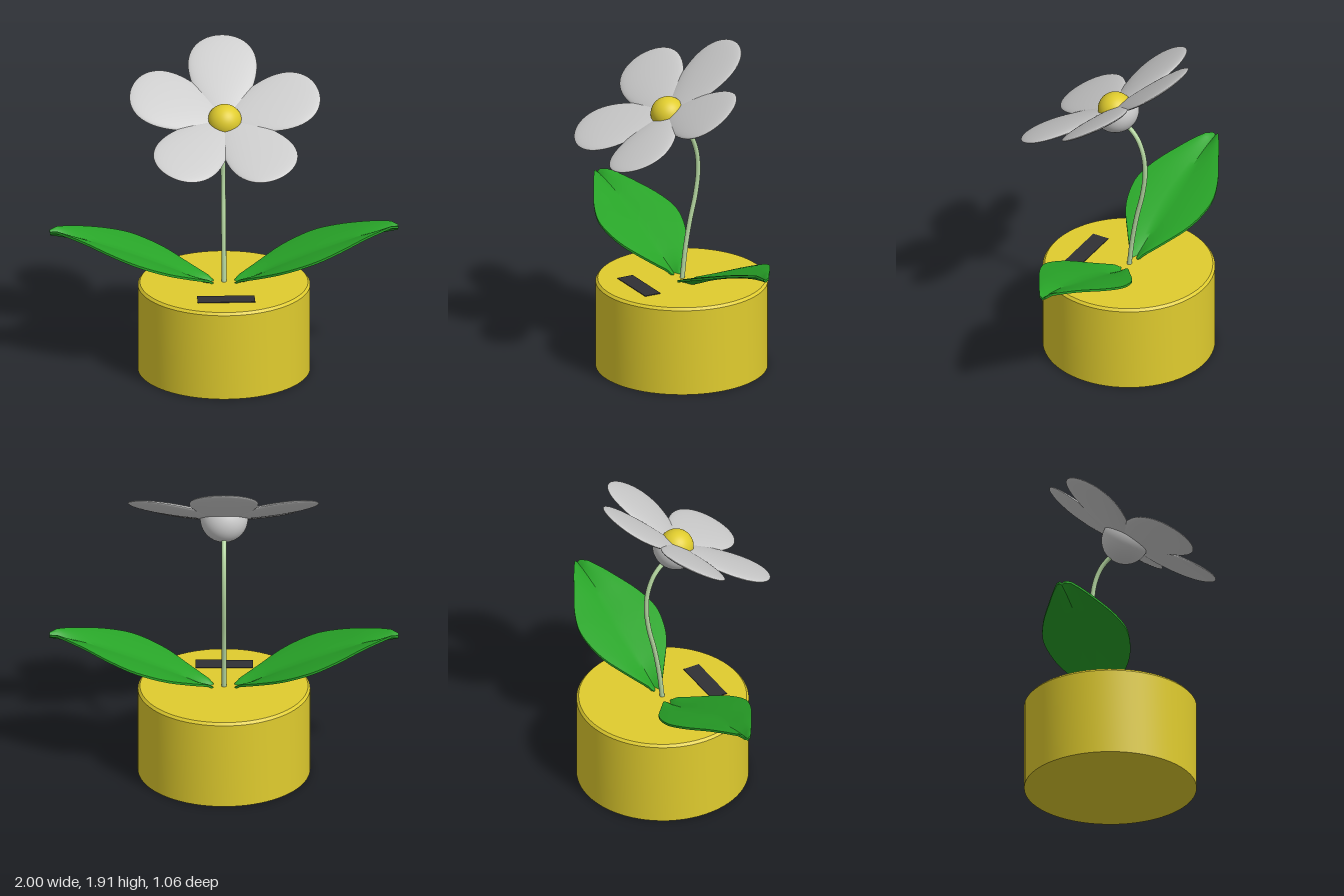
import * as THREE from 'three';
import { toCreasedNormals } from 'three/addons/utils/BufferGeometryUtils.js';

const POT_Z = -0.035;
const rad = THREE.MathUtils.degToRad;
const paint = (color) => new THREE.MeshStandardMaterial({ color });

function addMesh(parent, name, geometry, material) {
  const mesh = new THREE.Mesh(geometry, material);
  mesh.name = name;
  parent.add(mesh);
  return mesh;
}

// Flattened ellipsoid along -z from the origin, wider towards its tip
function petalGeometry(length, halfWidth, halfThickness) {
  const geo = new THREE.SphereGeometry(1, 40, 28);
  geo.rotateX(-Math.PI / 2);
  const p = geo.attributes.position;
  for (let i = 0; i < p.count; i++) {
    const t = -p.getZ(i);
    p.setXYZ(i,
      p.getX(i) * halfWidth * (1 + 0.35 * t),
      p.getY(i) * halfThickness,
      -(t + 1) * length / 2);
  }
  geo.computeVertexNormals();
  return geo;
}

// Thin folded blade lofted along +x; each guide point is (x, midrib height, half width)
function leafGeometry() {
  const guide = new THREE.CatmullRomCurve3([
    [0.06, 0.515, 0.025], [0.2, 0.575, 0.125], [0.32, 0.63, 0.205], [0.42, 0.672, 0.24],
    [0.53, 0.715, 0.25], [0.66, 0.76, 0.21], [0.8, 0.805, 0.135], [0.9, 0.83, 0.08], [1, 0.848, 0.018],
  ].map((a) => new THREE.Vector3(...a)));
  const steps = 40, half = 12, thickness = 0.014;
  const ring = 2 * (half + 1);
  const pos = [], index = [];
  for (let i = 0; i <= steps; i++) {
    const g = guide.getPoint(i / steps);
    const fold = Math.min(0.03, g.z * 0.7);
    for (let j = 0; j < ring; j++) {
      const top = j <= half;
      const s = top ? -1 + 2 * j / half : 1 - 2 * (j - half - 1) / half;
      const y = g.y + fold * Math.sin(Math.abs(s) * Math.PI / 2) - (top ? 0 : thickness);
      pos.push(g.x, y, s * g.z);
    }
  }
  for (let i = 0; i < steps; i++) {
    for (let j = 0; j < ring; j++) {
      const k = (j + 1) % ring;
      const a = i * ring + j, b = i * ring + k;
      index.push(a, b, b + ring, a, b + ring, a + ring);
    }
  }
  // End caps, joining each top point with the bottom point below it
  const end = steps * ring;
  for (let j = 0; j < half; j++) {
    const a = j, b = j + 1, c = ring - 2 - j, d = ring - 1 - j;
    index.push(a, c, b, a, d, c);
    index.push(end + a, end + b, end + c, end + a, end + c, end + d);
  }
  const geo = new THREE.BufferGeometry();
  geo.setAttribute('position', new THREE.Float32BufferAttribute(pos, 3));
  geo.setIndex(index);
  return toCreasedNormals(geo, rad(30));
}

export function createModel() {
  const model = new THREE.Group();
  model.name = 'pottedFlower';
  const yellow = paint(0xe0cc2e), green = paint(0x28a428), pale = paint(0xb4d6a0);
  const dark = paint(0x303034), grey = paint(0xcccccc);

  // Pot with a small chamfer round the top
  const profile = [[0, 0], [0.495, 0], [0.495, 0.515], [0.482, 0.53], [0, 0.53]]
    .map((a) => new THREE.Vector2(...a));
  const pot = addMesh(model, 'pot', toCreasedNormals(new THREE.LatheGeometry(profile, 72), rad(25)), yellow);
  pot.position.z = POT_Z;

  // Dark panel lying on the pot
  const panel = addMesh(model, 'panel', new THREE.BoxGeometry(0.33, 0.008, 0.1), dark);
  panel.position.set(0, 0.53, 0.245);

  // Curved stem
  const stemPath = new THREE.CatmullRomCurve3([
    [0.5, POT_Z], [0.7, -0.058], [0.87, -0.088], [1.03, -0.125], [1.17, -0.142],
    [1.29, -0.132], [1.39, -0.095], [1.45, -0.045], [1.48, 0.0],
  ].map(([y, z]) => new THREE.Vector3(0, y, z)));
  addMesh(model, 'stem', new THREE.TubeGeometry(stemPath, 64, 0.014, 14), pale);

  // Two opposite leaves
  const leaf = leafGeometry();
  ['leftLeaf', 'rightLeaf'].forEach((name, i) => {
    const mesh = addMesh(model, name, leaf, green);
    mesh.position.z = POT_Z;
    mesh.rotation.y = i * Math.PI;
  });

  // Flower head tilted towards the front
  const head = new THREE.Group();
  head.name = 'flowerHead';
  head.position.set(0, 1.555, 0.055);
  head.rotation.x = rad(31);
  model.add(head);

  addMesh(head, 'flowerCentre', new THREE.SphereGeometry(0.1, 40, 28), yellow);
  const base = new THREE.SphereGeometry(0.138, 40, 20, 0, Math.PI * 2, Math.PI / 2, Math.PI / 2);
  const baseMaterial = grey.clone();
  baseMaterial.side = THREE.DoubleSide;
  addMesh(head, 'flowerBase', base, baseMaterial);

  const petal = petalGeometry(0.57, 0.188, 0.025);
  [0, 74, 146, 217, 290].forEach((angle, i) => {
    const mesh = addMesh(head, `petal${i + 1}`, petal, grey);
    mesh.rotation.set(rad(8), -rad(angle), 0, 'YXZ');
  });
  return model;
}
